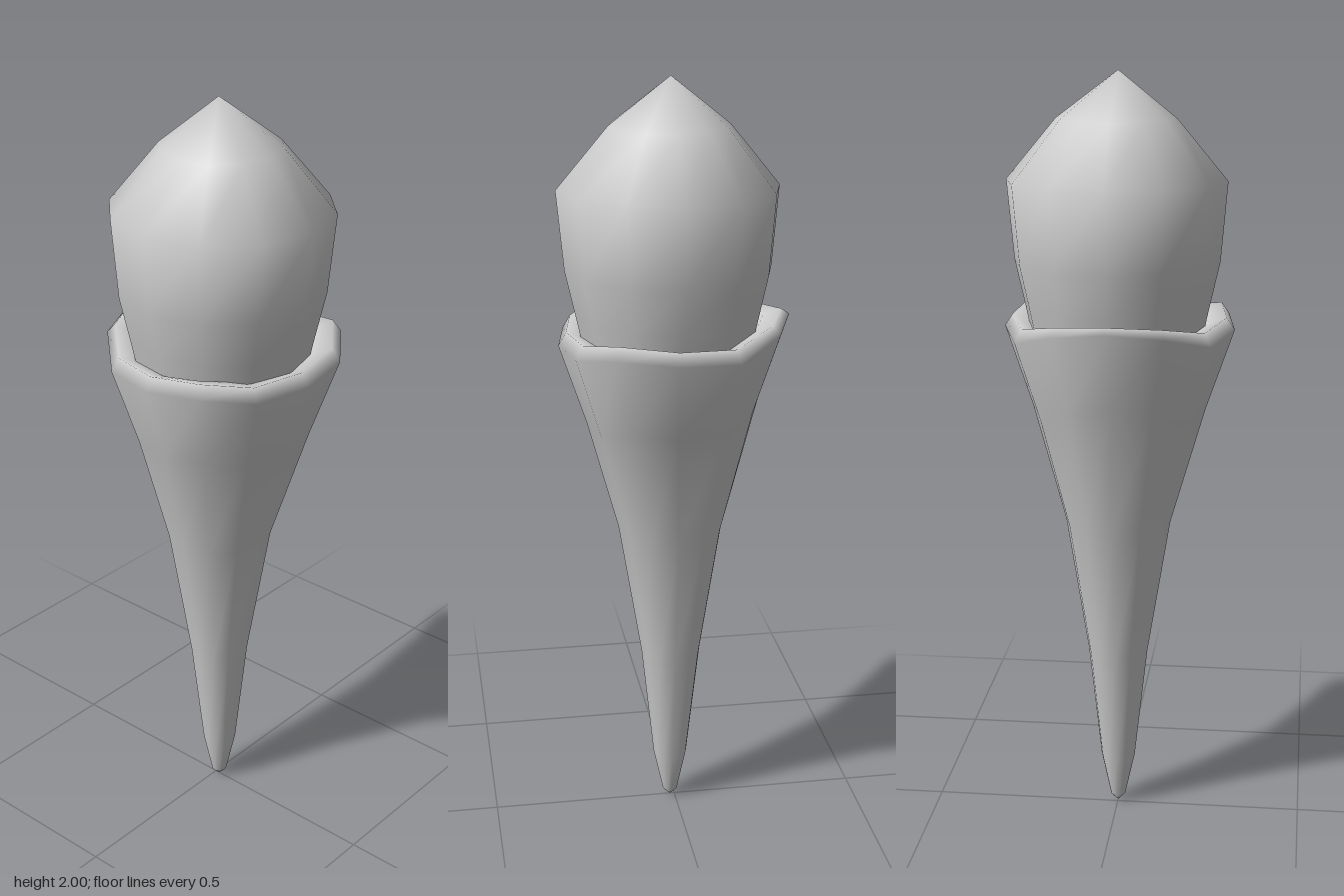
import * as THREE from 'three';

const SIDES = 12;
const material = new THREE.MeshStandardMaterial({ color: 0xcccccc, side: THREE.DoubleSide });

// Smooth skin over rings listed from bottom to top; a ring of one point is a tip.
function loft(name, rings) {
  const positions = [], indices = [], starts = [];
  for (const ring of rings) {
    starts.push(positions.length / 3);
    ring.forEach((p) => positions.push(...p));
  }
  for (let r = 0; r < rings.length - 1; r++) {
    const low = rings[r].length, high = rings[r + 1].length;
    for (let i = 0; i < SIDES; i++) {
      const j = i + 1;
      const a = starts[r] + (i % low), b = starts[r] + (j % low);
      const c = starts[r + 1] + (j % high), d = starts[r + 1] + (i % high);
      if (low > 1) indices.push(a, b, c);
      if (high > 1) indices.push(a, c, d);
    }
  }
  const geometry = new THREE.BufferGeometry();
  geometry.setAttribute('position', new THREE.Float32BufferAttribute(positions, 3));
  geometry.setIndex(indices);
  geometry.computeVertexNormals();
  const mesh = new THREE.Mesh(geometry, material);
  mesh.name = name;
  return mesh;
}

// Ring of points, starting at the front and turning towards the model's left.
function ring(pointAt) {
  return Array.from({ length: SIDES }, (_, i) => pointAt(i, (i / SIDES) * Math.PI * 2));
}

function circle(radius, y, x = 0, z = 0.01) {
  return ring((i, a) => [x + radius * Math.sin(a), y, z + radius * Math.cos(a)]);
}

// Uneven rim of the cone from front to back: x, z, widest height, lip height.
const RIM = [
  [0, 0.3, 1.325, 1.36],
  [0.165, 0.272, 1.33, 1.365],
  [0.28, 0.185, 1.355, 1.387],
  [0.302, 0.033, 1.34, 1.372],
  [0.25, -0.13, 1.325, 1.36],
  [0.14, -0.25, 1.365, 1.388],
  [0, -0.303, 1.385, 1.4],
];

// Ring that follows the rim, scaled inwards; heightAt takes the two rim heights.
function rimRing(scale, heightAt) {
  return ring((i) => {
    const mirrored = i > SIDES / 2;
    const [x, z, wide, lip] = RIM[mirrored ? SIDES - i : i];
    return [(mirrored ? -x : x) * scale, heightAt(wide, lip), 0.01 + (z - 0.01) * scale];
  });
}

export function createModel() {
  const model = new THREE.Group();
  model.name = 'iceCreamCone';

  // Tapering cone with a wavy lip that folds in around the scoop
  model.add(loft('cone', [
    [[0, 0, 0.012]],
    circle(0.02, 0.02, 0, 0.012),
    circle(0.046, 0.14, 0, 0.012),
    circle(0.08, 0.45),
    circle(0.14, 0.82),
    rimRing(0.76, (wide) => wide - 0.21),
    rimRing(1, (wide) => wide),
    rimRing(0.93, (wide, lip) => lip),
    rimRing(0.78, (wide, lip) => lip - 0.015),
    circle(0.2, 1.34),
  ]));

  // Scoop rising to a small peak
  model.add(loft('scoop', [
    circle(0.225, 1.33, 0.004, 0.014),
    circle(0.24, 1.4, 0.004, 0.014),
    circle(0.267, 1.52, 0.004, 0.014),
    circle(0.285, 1.725, 0.005, 0.015),
    circle(0.155, 1.88, 0.005, 0.012),
    [[0, 2, 0.008]],
  ]));

  return model;
}
